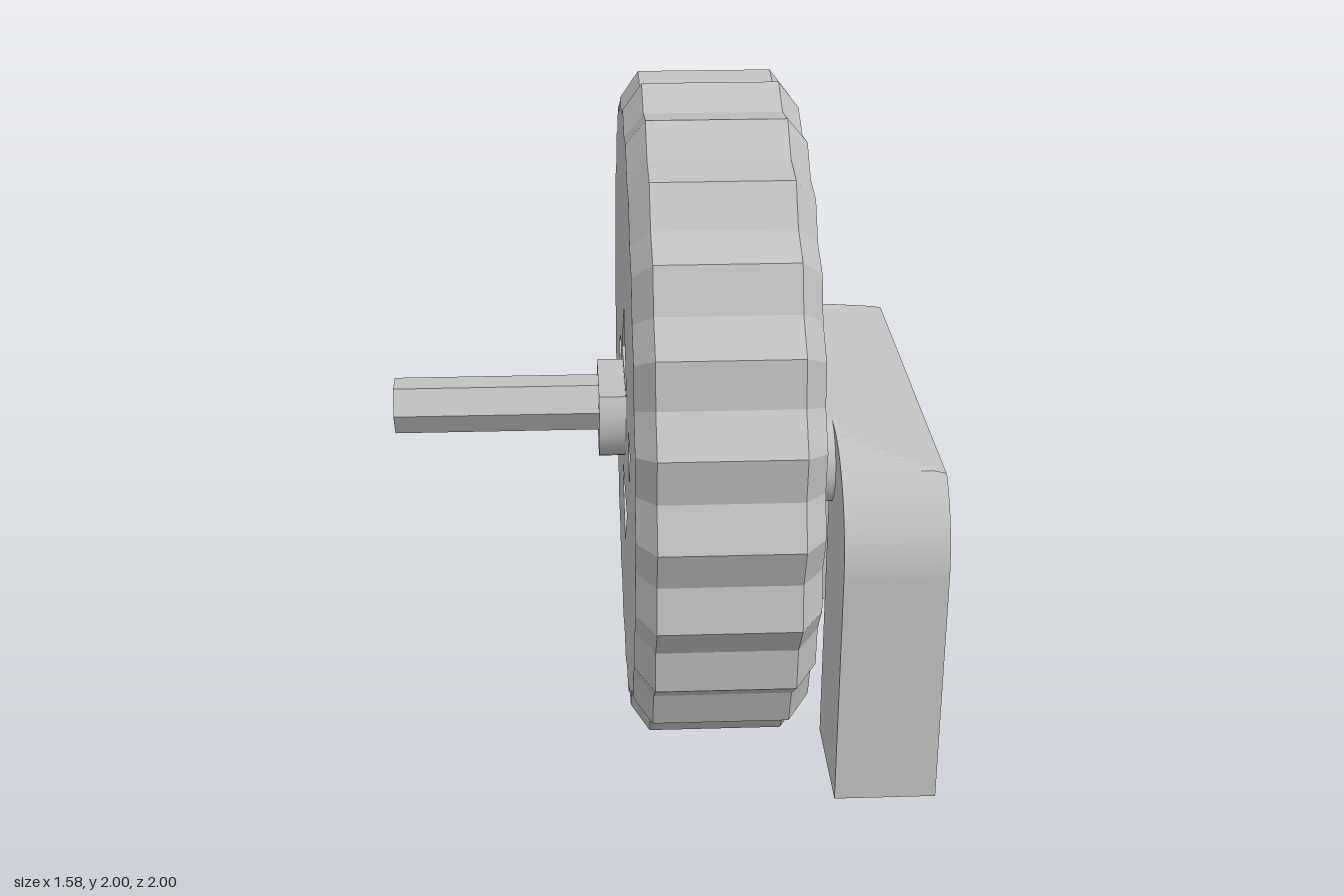
import * as THREE from 'three';
import { toCreasedNormals } from 'three/addons/utils/BufferGeometryUtils.js';

const TEETH = 24;
const AXIS_Y = 1;

export function createModel() {
  const model = new THREE.Group();
  const grey = new THREE.MeshStandardMaterial({ color: 0xc0c0c0 });
  grey.name = 'light grey';

  const add = (name, geometry, parent = model) => {
    const mesh = new THREE.Mesh(geometry, grey);
    mesh.name = name;
    parent.add(mesh);
    return mesh;
  };

  // Extrude a (-z, y) outline along x from x0 to x1
  const extrudeX = (shape, x0, x1, steps = 1) => {
    const g = new THREE.ExtrudeGeometry(shape, {
      depth: x1 - x0, steps, bevelEnabled: false, curveSegments: 14,
    });
    return g.rotateY(Math.PI / 2).translate(x0, 0, 0);
  };

  // Round rod along x
  const rodX = (r, x0, x1, sides) =>
    new THREE.CylinderGeometry(r, r, x1 - x0, sides)
      .rotateZ(Math.PI / 2).translate((x0 + x1) / 2, AXIS_Y, 0);

  // Zigzag outline of the wheel at a given scale
  const gear = (scale) => {
    const pts = [];
    for (let i = 0; i < TEETH * 2; i++) {
      const a = (i * Math.PI) / TEETH;
      const r = scale * (i % 2 ? 0.955 : 1);
      pts.push(new THREE.Vector2(r * Math.cos(a), AXIS_Y + r * Math.sin(a)));
    }
    return pts;
  };

  // Toothed tread with chamfered rims
  const wheel = new THREE.Group();
  wheel.name = 'wheel';
  model.add(wheel);
  const stations = [[-0.09, 0.922], [-0.035, 1], [0.36, 1], [0.42, 0.922]];
  const pos = [];
  const idx = [];
  const n = TEETH * 2;
  stations.forEach(([x, s]) => gear(s).forEach((p) => pos.push(x, p.y, -p.x)));
  for (let s = 0; s < stations.length - 1; s++) {
    for (let i = 0; i < n; i++) {
      const j = (i + 1) % n;
      const a = s * n + i, b = s * n + j, c = a + n, d = b + n;
      idx.push(a, b, d, a, d, c);
    }
  }
  let tread = new THREE.BufferGeometry();
  tread.setAttribute('position', new THREE.Float32BufferAttribute(pos, 3));
  tread.setIndex(idx);
  // Outward winding
  for (let i = 0; i < idx.length; i += 3) {
    const v = [0, 1, 2].map((k) => new THREE.Vector3().fromArray(pos, idx[i + k] * 3));
    const normal = v[1].clone().sub(v[0]).cross(v[2].clone().sub(v[0]));
    if (normal.y * (v[0].y - AXIS_Y) + normal.z * v[0].z < 0) {
      [idx[i + 1], idx[i + 2]] = [idx[i + 2], idx[i + 1]];
    }
  }
  tread.setIndex(idx);
  tread = tread.toNonIndexed();
  tread.computeVertexNormals();
  add('tread', tread, wheel);

  // Wheel disc: solid outer half, inner half with four pockets round the hub
  add('outerDisc', extrudeX(new THREE.Shape(gear(0.922)), 0.16, 0.42), wheel);
  const inner = new THREE.Shape(gear(0.922));
  const pockets = [
    [[-0.2, 0.1], [0.2, 0.1], [0, 0.31]],
    [[-0.2, -0.29], [0, -0.48], [0.2, -0.29]],
    [[0.33, 0.09], [0.33, -0.13], [0.49, 0]],
    [[-0.34, 0.06], [-0.49, 0.05], [-0.4, -0.1]],
  ];
  pockets.forEach((p) => inner.holes.push(
    new THREE.Path(p.map(([u, v]) => new THREE.Vector2(u, AXIS_Y + v)))));
  add('innerDisc', extrudeX(inner, -0.09, 0.16), wheel);

  // D-shaped hub with a flat on top, and the hexagonal axle
  const hub = new THREE.Shape();
  const flat = Math.asin(0.08 / 0.165);
  hub.absarc(0, AXIS_Y, 0.165, Math.PI - flat, Math.PI * 2 + flat, false);
  hub.closePath();
  add('hub', toCreasedNormals(extrudeX(hub, -0.17, -0.08), 0.5));
  const axle = new THREE.CylinderGeometry(0.085, 0.085, 0.64, 6)
    .rotateZ(Math.PI / 2).translate(-0.47, AXIS_Y, 0);
  add('axle', toCreasedNormals(axle, 0.3));

  // Outer boss and the round-ended mounting bar
  add('boss', rodX(0.135, 0.41, 0.46, 32));
  const bar = new THREE.Shape();
  bar.absarc(0.355, 1.005, 0.125, -Math.PI / 2, Math.PI / 2, false);
  bar.absarc(-0.435, 1.005, 0.125, Math.PI / 2, Math.PI * 1.5, false);
  bar.closePath();
  add('mountingBar', toCreasedNormals(extrudeX(bar, 0.445, 0.495), 0.5));

  // Arched bracket with a sloping top
  const arch = new THREE.Shape();
  const R = 0.33, top = 1.13;
  arch.moveTo(-0.8, 0.08);
  arch.lineTo(-0.44, 0.08);
  arch.lineTo(-0.44, 1.03);
  arch.lineTo(0.36, 1.03);
  arch.lineTo(0.36, 0.08);
  arch.lineTo(0.72, 0.08);
  arch.absarc(0.72 - R, top - R, R, 0, Math.PI / 2, false);
  arch.absarc(-0.8 + R, top - R, R, Math.PI / 2, Math.PI, false);
  arch.closePath();
  const bracket = extrudeX(arch, 0.49, 0.785, 8);
  const p = bracket.attributes.position;
  for (let i = 0; i < p.count; i++) {
    const limit = top - 0.07 * (p.getX(i) - 0.49) / 0.295;
    p.setY(i, Math.min(p.getY(i), limit));
  }
  add('bracket', toCreasedNormals(bracket, 0.2));

  return model;
}
